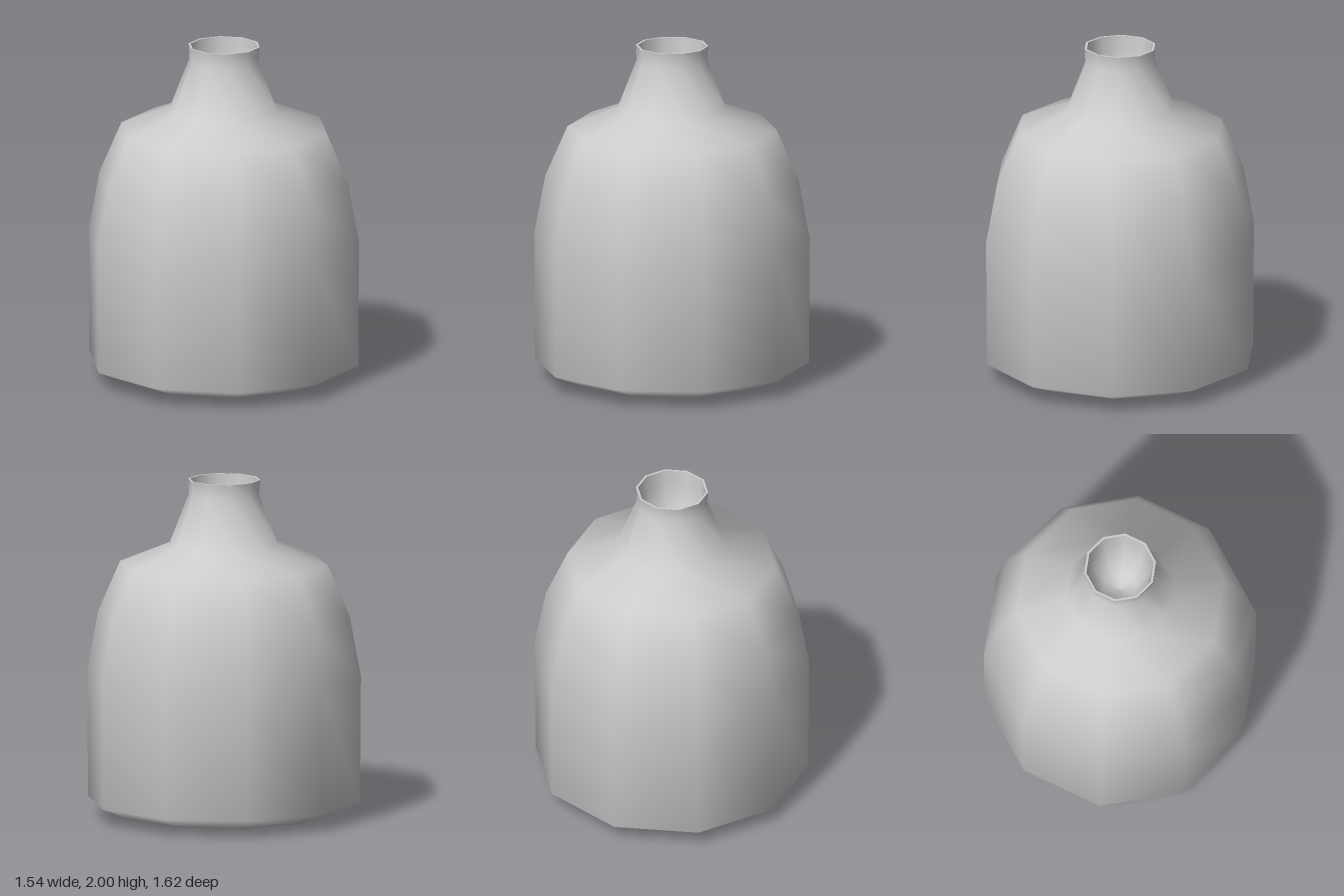
import * as THREE from 'three';

// Low-sided turned part with smooth normals; one corner points to the front
function turned(name, profile, material) {
  const points = profile.map(([r, y]) => new THREE.Vector2(r, y));
  const mesh = new THREE.Mesh(new THREE.LatheGeometry(points, 10), material);
  mesh.name = name;
  return mesh;
}

export function createModel() {
  const group = new THREE.Group();
  group.name = 'jug';
  const material = new THREE.MeshStandardMaterial({ color: 0xcccccc, side: THREE.DoubleSide });

  // Base, body, shoulder and flared neck
  group.add(turned('body', [
    [0, 0], [0.25, 0.005], [0.62, 0.025], [0.805, 0.1], [0.81, 0.85],
    [0.745, 1.2], [0.615, 1.5], [0.32, 1.62], [0.208, 1.91], [0.214, 2],
  ], material));

  // Thin lip
  group.add(turned('rim', [[0.214, 2], [0.2, 2]], material));

  // Hollow of the neck, closing to a rounded bottom
  group.add(turned('neckHollow', [
    [0.2, 2], [0.192, 1.91], [0.17, 1.78], [0.1, 1.66], [0, 1.63],
  ], material));

  return group;
}
